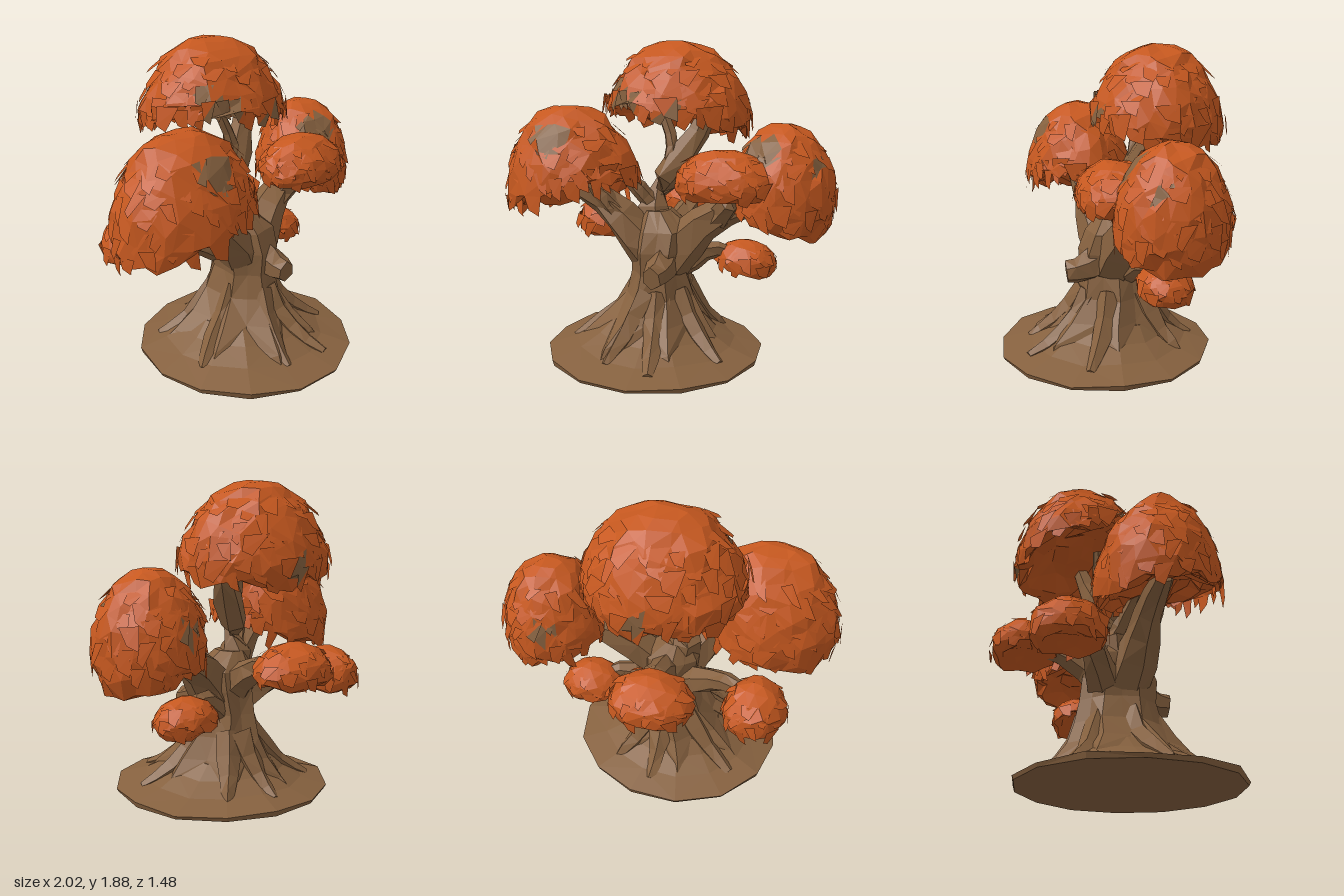
import * as THREE from 'three';

const V = (x, y, z) => new THREE.Vector3(x, y, z);

// Repeatable noise in -1..1 from a position
function noise(p, k) {
  const s = Math.sin(Math.round(p.x * 500) * 12.99 + Math.round(p.y * 500) * 78.23
    + Math.round(p.z * 500) * 37.72 + k * 19.19) * 4375.85;
  return (s - Math.floor(s)) * 2 - 1;
}

// Facetted geometry from a list of triangle corners
function facets(points) {
  const g = new THREE.BufferGeometry().setFromPoints(points);
  g.computeVertexNormals();
  return g;
}

// Skin over a list of rings, closed at both ends
function loft(rings) {
  const out = [], n = rings[0].length;
  const mid = r => r.reduce((s, p) => s.add(p), V(0, 0, 0)).divideScalar(n);
  const first = rings[0], last = rings[rings.length - 1];
  const c0 = mid(first), c1 = mid(last);
  for (let j = 0; j < n; j++) {
    const k = (j + 1) % n;
    for (let i = 0; i + 1 < rings.length; i++) {
      const a = rings[i][j], b = rings[i][k], c = rings[i + 1][k], d = rings[i + 1][j];
      if ((i + j) % 2) out.push(a, d, c, a, c, b);
      else out.push(a, d, b, d, c, b);
    }
    out.push(c0, first[j], first[k], c1, last[k], last[j]);
  }
  return facets(out);
}

// Gnarled tapering limb through the given points
function limb(pts, r0, r1, steps = 5, sides = 6) {
  const curve = new THREE.CatmullRomCurve3(pts.map(p => V(...p)));
  const rings = [];
  for (let i = 0; i <= steps; i++) {
    const t = i / steps, c = curve.getPoint(t), T = curve.getTangent(t);
    const up = Math.abs(T.y) > 0.9 ? V(1, 0, 0) : V(0, 1, 0);
    const U = up.addScaledVector(T, -up.dot(T)).normalize();
    const W = U.clone().cross(T);
    const r = r0 + (r1 - r0) * t;
    rings.push(Array.from({ length: sides }, (_, j) => {
      const a = j / sides * Math.PI * 2;
      const q = r * (1 + 0.16 * noise(V(c.x, c.y, c.z + j), 3));
      return c.clone().addScaledVector(U, Math.cos(a) * q).addScaledVector(W, Math.sin(a) * q);
    }));
  }
  return loft(rings);
}

// Ragged leaf dome; floor = [height at centre, slope x, slope z]; patches = bare spots [x, y, z, radius]
function foliage({ c, r, floor, detail, leaves, size, taper = 0.04, patches = [] }) {
  const C = V(...c), R = V(...r), leaf = [], bare = [];
  const add = (...tri) => {
    const m = tri.reduce((s, p) => s.add(p), V(0, 0, 0)).divideScalar(tri.length);
    const isBare = patches.some(p => m.distanceTo(V(p[0], p[1], p[2])) < p[3]);
    (isBare ? bare : leaf).push(...tri);
  };
  const place = d => {
    const k = 1 + 0.04 * noise(d, 1) + 0.025 * Math.sin(d.x * 7 + c[0] * 9) * Math.cos(d.z * 6 + d.y * 4);
    const p = d.clone().multiplyScalar(k).multiply(R);
    const narrow = 1 - taper * Math.sin(Math.PI * Math.max(0, d.y));
    p.x *= narrow;
    p.z *= narrow;
    const inside = Math.max(0, 1 - (p.x / R.x) ** 2 - (p.z / R.z) ** 2);
    const low = floor[0] - c[1] + floor[1] * p.x + floor[2] * p.z
      + R.y * (0.32 * inside + 0.08 * noise(d, 2));
    p.y = Math.max(p.y, low);
    return p.add(C);
  };
  // Crown shell
  const pos = new THREE.IcosahedronGeometry(1, detail).attributes.position;
  const corner = i => {
    const d = V(0, 0, 0).fromBufferAttribute(pos, i), j = 0.36 / (detail + 1);
    return place(V(d.x + j * noise(d, 5), d.y + j * noise(d, 6), d.z + j * noise(d, 7)).normalize());
  };
  for (let i = 0; i < pos.count; i += 3) add(corner(i), corner(i + 1), corner(i + 2));
  // Overlapping leaf plates, drooping outwards
  for (let i = 0; i < leaves; i++) {
    const y = 0.75 - 1.1 * (i + 0.5) / leaves, a = i * 2.39996, h = Math.sqrt(1 - y * y);
    const d = V(Math.cos(a) * h, y, Math.sin(a) * h), p = place(d);
    const n = d.clone().divide(R).normalize();
    const s = V(-n.z, 0, n.x).normalize();
    const t = n.clone().cross(s).normalize();
    if (t.y > 0) t.negate();
    t.addScaledVector(s, 0.5 * noise(d, 8)).normalize();
    const w = size * (0.8 + 0.3 * noise(d, 9)), l = size * (1 + 0.3 * noise(d, 10));
    const at = (u, v, o) => p.clone().addScaledVector(s, u * w).addScaledVector(t, v * l).addScaledVector(n, o * size);
    const A = at(-0.8, -0.6, -0.12), B = at(0.8, -0.5, -0.12), D = at(0.5, 0.5, 0.08), E = at(-0.3, 0.8, 0.12);
    add(A, B, D);
    add(A, D, E);
  }
  return { leaf: facets(leaf), bare: bare.length ? facets(bare) : null };
}

export function createModel() {
  const tree = new THREE.Group();
  tree.name = 'autumnTree';
  const bark = new THREE.MeshStandardMaterial({ color: 0x86613f, side: THREE.DoubleSide });
  bark.name = 'bark brown';
  const orange = new THREE.MeshStandardMaterial({ color: 0xc6581f, side: THREE.DoubleSide });
  orange.name = 'leaf orange';
  const add = (name, geometry, material) => {
    const m = new THREE.Mesh(geometry, material);
    m.name = name;
    tree.add(m);
  };

  // Ground: irregular rim rising into a mound
  const disc = (y, r, cz) => Array.from({ length: 14 }, (_, j) => {
    const a = (j + 0.5) / 14 * Math.PI * 2 + Math.PI / 2;
    const q = r * (1 + 0.015 * noise(V(j, 0, 0), 4));
    return V(-0.035 + Math.cos(a) * q, y + 0.01 * noise(V(j, 1, 0), 2) * (y > 0), cz + Math.sin(a) * q);
  });
  add('ground', loft([disc(0, 0.65, 0.075), disc(0.028, 0.66, 0.075), disc(0.075, 0.49, 0.06),
    disc(0.14, 0.37, 0.05), disc(0.22, 0.28, 0.03)]), bark);

  // Trunk: rows of height, radius x, radius z, ridge depth, centre x, centre z
  const rows = [
    [0.03, 0.47, 0.48, 0.2, -0.05, 0.06], [0.12, 0.39, 0.41, 0.18, -0.05, 0.06],
    [0.23, 0.3, 0.32, 0.13, -0.03, 0.05], [0.36, 0.2, 0.245, 0.09, -0.01, 0.02],
    [0.5, 0.16, 0.22, 0.08, -0.01, 0.02], [0.64, 0.18, 0.21, 0.08, 0, 0.02],
    [0.76, 0.19, 0.18, 0.08, 0, 0.01], [0.87, 0.08, 0.1, 0.05, -0.04, 0]];
  add('trunk', loft(rows.map(([y, rx, rz, ridge, cx, cz]) => Array.from({ length: 14 }, (_, j) => {
    const a = j / 14 * Math.PI * 2, k = 1 + (j % 2 ? -ridge : ridge * 0.5) + 0.05 * noise(V(j, y, 0), 6);
    return V(cx + Math.cos(a) * rx * k, y, cz + Math.sin(a) * rz * k);
  }))), bark);

  // Roots spreading over the mound
  for (let i = 0; i < 7; i++) {
    const a = (i + 0.15) / 7 * Math.PI * 2 + 0.2 * noise(V(i, 2, 0), 1);
    const reach = 0.53 + 0.05 * noise(V(i, 3, 0), 1), x = Math.cos(a), z = Math.sin(a);
    add('root', limb([[x * 0.12, 0.38, z * 0.17 + 0.02], [x * 0.26 - 0.02, 0.21, z * 0.28 + 0.03],
      [x * 0.41 - 0.03, 0.1, z * 0.41 + 0.05], [x * reach - 0.03, 0.045, z * reach + 0.07]], 0.09, 0.03, 4, 5), bark);
  }

  // Branches: path, start radius, end radius
  const branches = [
    [[[-0.05, 0.58, 0.06], [-0.2, 0.8, 0.12], [-0.38, 0.95, 0.16], [-0.6, 1.03, 0.2]], 0.14, 0.05],
    [[[-0.25, 0.86, 0.14], [-0.34, 0.99, 0.2], [-0.5, 1.16, 0.26]], 0.07, 0.03],
    [[[0.04, 0.56, 0.02], [0.2, 0.76, -0.02], [0.42, 0.9, -0.07], [0.66, 0.97, -0.12]], 0.15, 0.06],
    [[[0.34, 0.85, -0.03], [0.46, 0.98, 0.05], [0.52, 1.15, 0.08]], 0.08, 0.04],
    [[[-0.04, 0.72, 0], [-0.08, 0.92, -0.02], [0.03, 1.13, -0.08], [0.14, 1.3, -0.15], [0.2, 1.46, -0.2]], 0.12, 0.05],
    [[[-0.08, 0.9, 0], [-0.17, 1.02, 0.06], [-0.28, 1.14, 0.12]], 0.06, 0.03],
    [[[0.02, 1.1, -0.07], [0.0, 1.28, -0.1], [-0.08, 1.48, -0.12]], 0.055, 0.03],
    [[[-0.08, 0.58, -0.06], [-0.28, 0.7, -0.14], [-0.42, 0.76, -0.21], [-0.58, 0.74, -0.28]], 0.1, 0.035],
    [[[0.08, 0.5, -0.04], [0.27, 0.62, -0.11], [0.46, 0.58, -0.18]], 0.08, 0.03],
    [[[0, 0.66, -0.08], [0.01, 0.8, -0.28], [0, 0.85, -0.52]], 0.11, 0.04]];
  for (const [pts, r0, r1] of branches) add('branch', limb(pts, r0, r1), bark);
  add('brokenStub', limb([[0.05, 0.6, 0.1], [0.07, 0.54, 0.24], [0.07, 0.53, 0.33]], 0.1, 0.065, 3), bark);

  // Leaf crowns
  const crowns = {
    topCrown: { c: [-0.02, 1.46, -0.235], r: [0.465, 0.42, 0.395], floor: [1.37, -0.15, 0.3], detail: 4, leaves: 100, size: 0.085, taper: 0.1,
      patches: [[-0.22, 1.49, 0.12, 0.1], [-0.33, 1.63, 0.03, 0.06], [0.1, 1.42, 0.12, 0.08], [0, 1.4, -0.61, 0.06]] },
    rightCrown: { c: [-0.55, 1.01, 0.17], r: [0.435, 0.49, 0.345], floor: [0.92, 0.33, 0.2], detail: 4, leaves: 95, size: 0.085,
      patches: [[-0.53, 1.33, 0.41, 0.1]] },
    leftCrown: { c: [0.69, 1.0, -0.17], r: [0.305, 0.41, 0.31], floor: [0.78, -0.45, 0], detail: 4, leaves: 80, size: 0.08,
      patches: [[0.6, 1.27, 0.06, 0.11], [0.63, 1.1, -0.46, 0.06], [0.95, 1.18, -0.06, 0.055]] },
    leftFrontCrown: { c: [0.42, 1.08, 0.09], r: [0.29, 0.19, 0.22], floor: [0.97, 0, 0], detail: 3, leaves: 40, size: 0.07 },
    lowRightCrown: { c: [-0.585, 0.69, -0.31], r: [0.19, 0.18, 0.21], floor: [0.58, 0, 0], detail: 2, leaves: 24, size: 0.07 },
    lowLeftCrown: { c: [0.46, 0.55, -0.19], r: [0.195, 0.135, 0.165], floor: [0.48, -0.35, 0.1], detail: 2, leaves: 20, size: 0.06 },
    backCrown: { c: [-0.03, 0.82, -0.54], r: [0.25, 0.16, 0.2], floor: [0.73, 0, 0.1], detail: 2, leaves: 26, size: 0.06 },
  };
  for (const [name, spec] of Object.entries(crowns)) {
    const { leaf, bare } = foliage(spec);
    add(name, leaf, orange);
    if (bare) add(name + 'BareSpots', bare, bark);
  }
  return tree;
}
